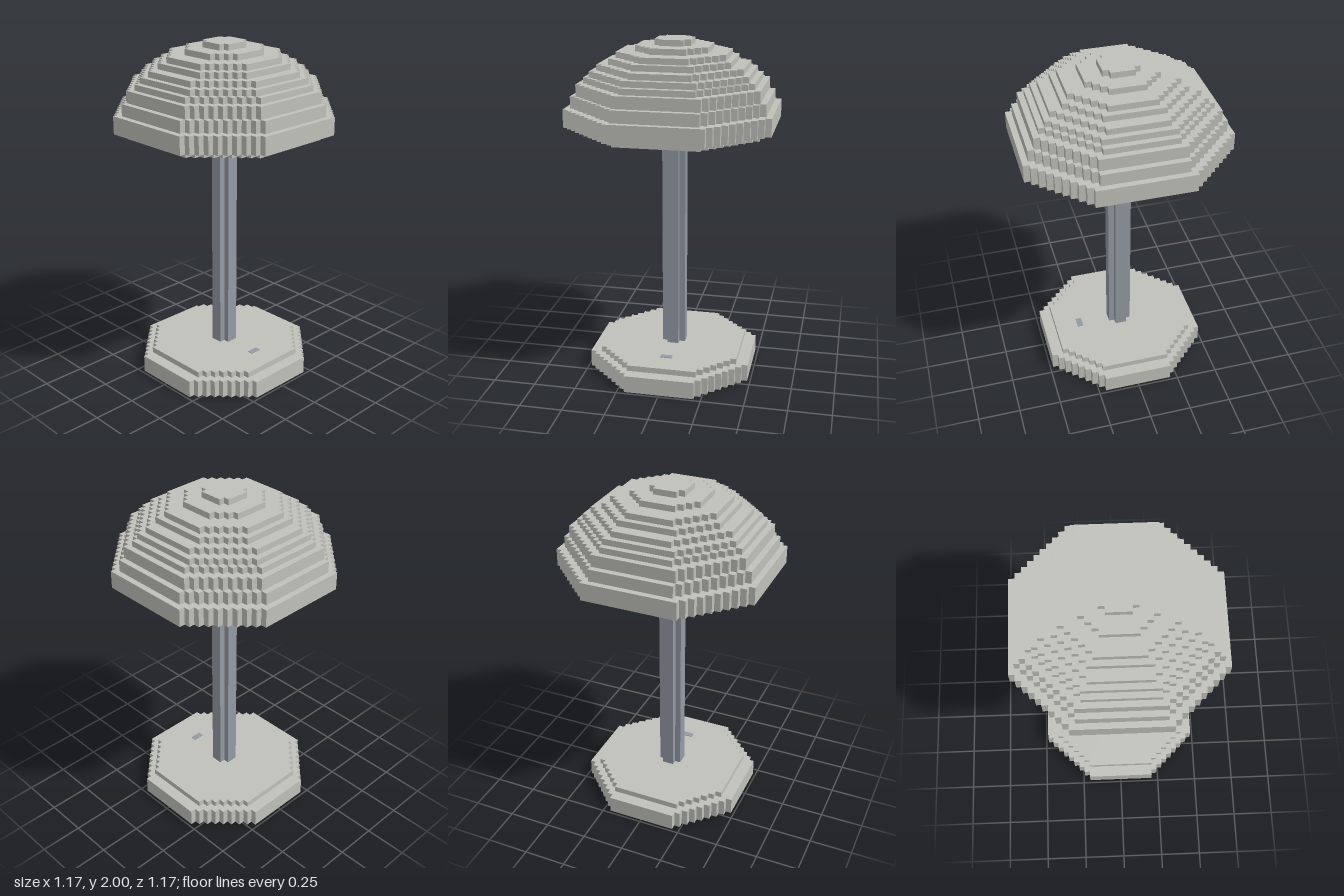
import * as THREE from 'three';

// One cell of the block grid: the model is 58 cells tall
const U = 2 / 58;

const stone = new THREE.MeshStandardMaterial({ color: 0xc1c1bb });
stone.name = 'pale stone';
const steel = new THREE.MeshStandardMaterial({ color: 0x949ba4 });
steel.name = 'blue grey steel';

// Octagonal slab with stair-stepped corners; half = half width, flat = half length of a straight side
function slab(name, material, half, from, to, flat = Math.floor(Math.SQRT2 * half) + 1 - half) {
  const quarter = [];
  for (let k = 0; k <= half - flat; k++) {
    quarter.push([half - k, flat + k]);
    if (k < half - flat) quarter.push([half - k - 1, flat + k]);
  }
  const points = [];
  for (let turn = 0; turn < 4; turn++) {
    for (const [x, y] of quarter) {
      const [a, b] = [[x, y], [-y, x], [-x, -y], [y, -x]][turn];
      points.push(new THREE.Vector2(a * U, b * U));
    }
  }
  const geometry = new THREE.ExtrudeGeometry(new THREE.Shape(points), {
    depth: (to - from) * U,
    bevelEnabled: false,
  });
  geometry.rotateX(-Math.PI / 2);
  geometry.translate(0, from * U, 0);
  const mesh = new THREE.Mesh(geometry, material);
  mesh.name = name;
  return mesh;
}

export function createModel() {
  const model = new THREE.Group();
  model.name = 'domed lamp';

  // Two-step foot
  const base = new THREE.Group();
  base.name = 'base';
  base.add(slab('baseFoot', stone, 14, 0, 3));
  base.add(slab('baseTop', stone, 12, 3, 4, 6));

  // Small switch plate on the front of the foot
  const plate = new THREE.Mesh(new THREE.BoxGeometry(2 * U, 0.004, U), steel);
  plate.name = 'switchPlate';
  plate.position.set(0, 4 * U + 0.001, 7.5 * U);
  base.add(plate);
  model.add(base);

  // Post with notched corners
  model.add(slab('post', steel, 2, 4, 43, 1));

  // Stepped dome: half width and number of rows, from the bottom up
  const shade = new THREE.Group();
  shade.name = 'shade';
  const steps = [
    [15, 1], [17, 3], [16, 2], [15, 2], [14, 1], [13, 1],
    [12, 1], [10, 1], [9, 1], [6, 1], [3, 1],
  ];
  let row = 43;
  steps.forEach(([half, rows], i) => {
    shade.add(slab(`shadeStep${i + 1}`, stone, half, row, row + rows));
    row += rows;
  });
  model.add(shade);

  return model;
}
